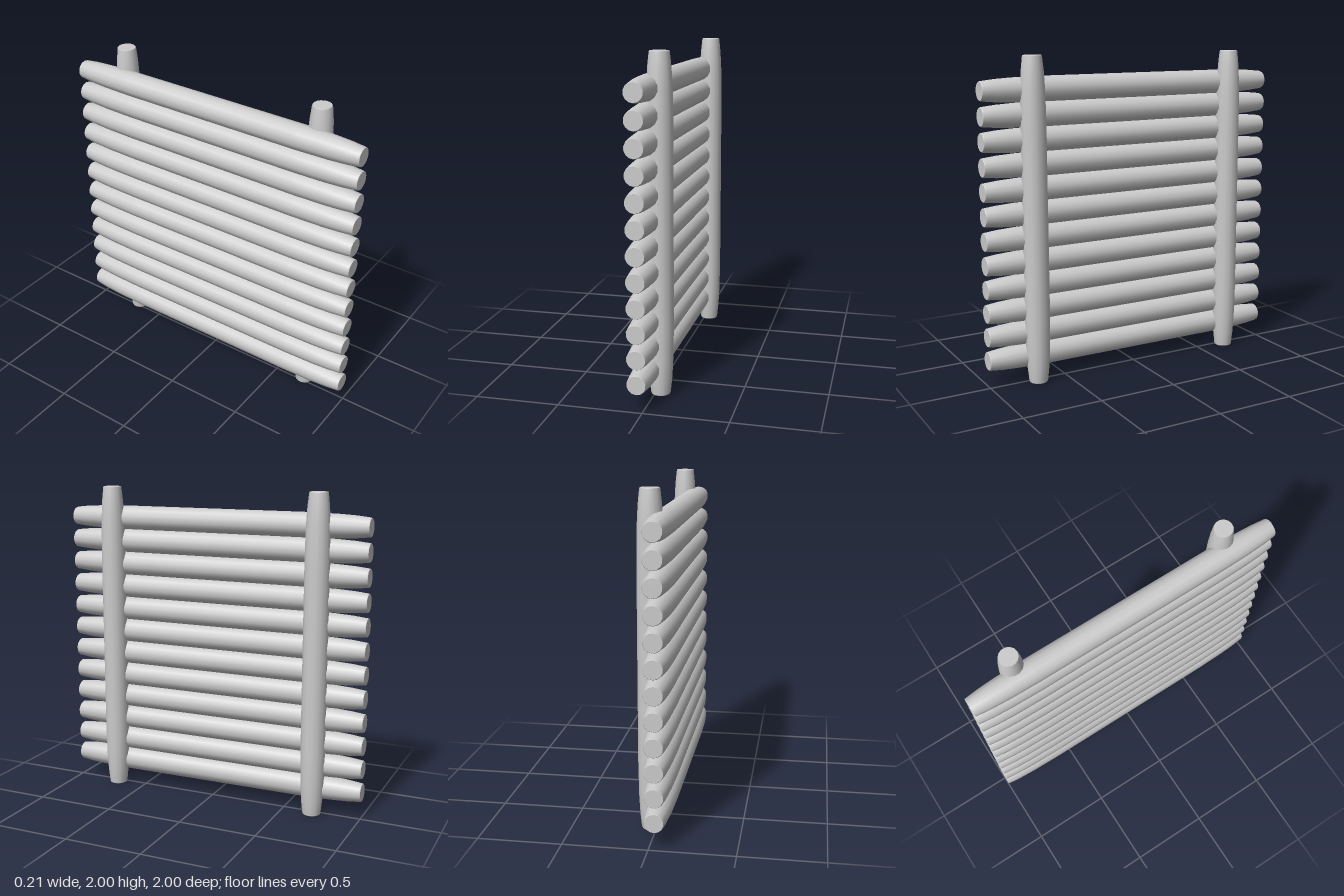
import * as THREE from 'three';

const HALF = 1, SIDES = 14;

// Log outline as [radius, height] for the upper half; mirrored for the lower half
const PROFILE = [[0.077, 0.6], [0.073, 0.8], [0.067, 0.91], [0.058, 0.995], [0.055, HALF]];

// Log along y with softly tapered ends and flat cut faces
function logGeometry() {
  const upper = PROFILE.map(([r, y]) => new THREE.Vector2(r, y));
  const lower = PROFILE.map(([r, y]) => new THREE.Vector2(r, -y)).reverse();
  return new THREE.LatheGeometry([...lower, ...upper], SIDES);
}

function makeLog(name, body, cap, material) {
  const log = new THREE.Group();
  log.name = name;
  const shaft = new THREE.Mesh(body, material);
  shaft.name = name + 'Shaft';
  log.add(shaft);
  for (const s of [1, -1]) {
    const end = new THREE.Mesh(cap, material);
    end.name = name + 'End';
    end.position.y = s * HALF;
    end.rotation.x = -s * Math.PI / 2;
    log.add(end);
  }
  return log;
}

export function createModel() {
  const model = new THREE.Group();
  model.name = 'logWall';
  const material = new THREE.MeshStandardMaterial({ color: 0xcccccc });
  const body = logGeometry();
  // Turned so the rim matches the lathe, which starts on +z
  const cap = new THREE.CircleGeometry(PROFILE[PROFILE.length - 1][0], SIDES, Math.PI / 2);

  // Stacked horizontal logs
  const count = 12, low = 0.162, high = 1.798;
  for (let i = 0; i < count; i++) {
    const log = makeLog('wallLog', body, cap, material);
    log.rotation.x = Math.PI / 2;
    log.position.set(-0.033, low + (high - low) * i / (count - 1), 0);
    model.add(log);
  }

  // Two upright posts on the left side
  for (const s of [1, -1]) {
    const post = makeLog('post', body, cap, material);
    post.position.set(0.031, HALF, s * 0.694);
    model.add(post);
  }
  return model;
}
